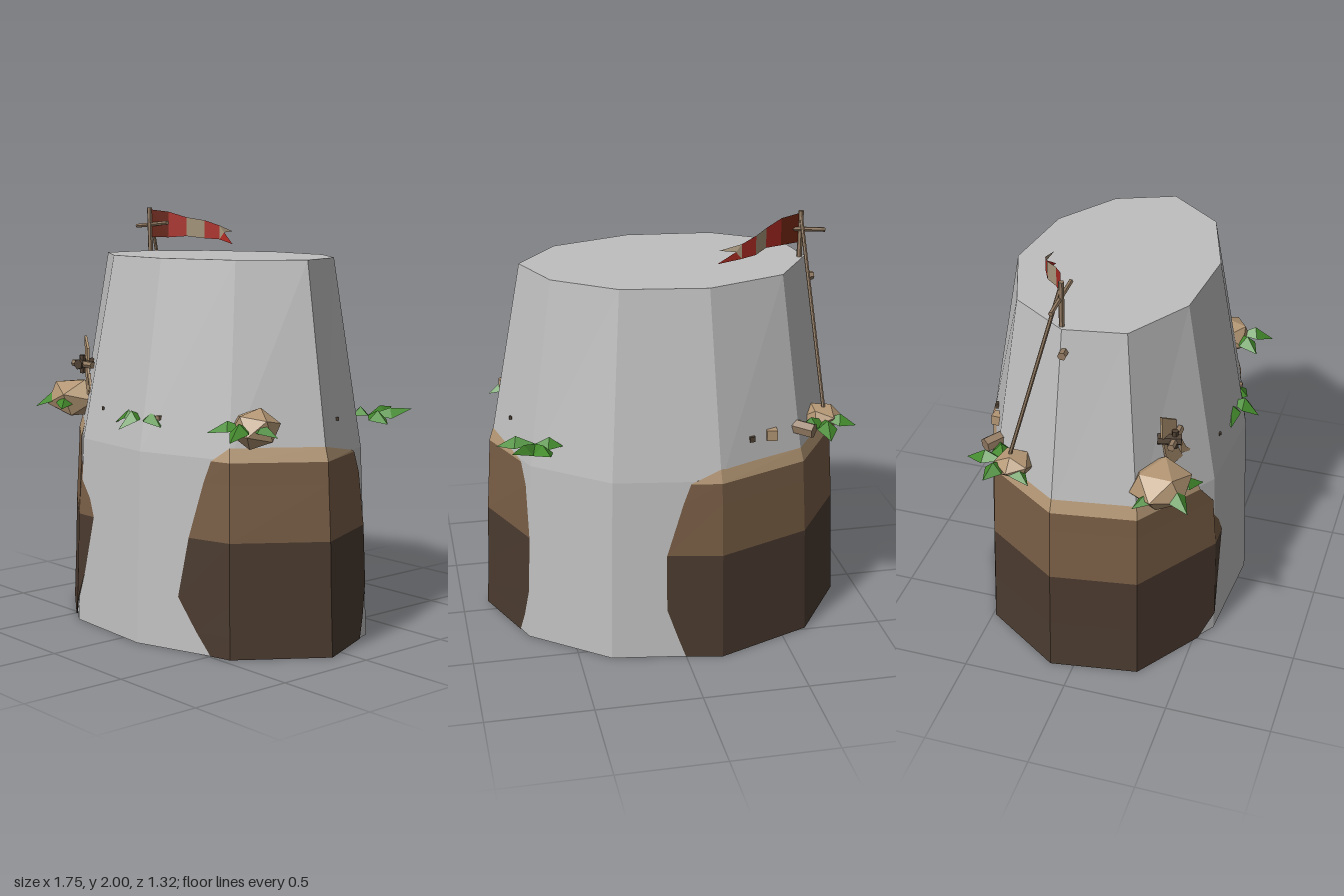
import * as THREE from 'three';

const mat = (name, color, side = THREE.FrontSide) => {
  const m = new THREE.MeshStandardMaterial({ color, side });
  m.name = name;
  return m;
};

// Corner outlines [x, z] of the rock at the ground, at the knee and at the top
const BASE = [[-.17, -.66], [.35, -.58], [.71, -.3], [.862, .085], [.595, .46],
  [.11, .61], [-.4, .575], [-.8, .3], [-.865, -.11], [-.62, -.48]];
const TOP = [[-.13, -.48], [.27, -.42], [.55, -.22], [.66, .055], [.46, .31],
  [.08, .43], [-.33, .39], [-.63, .2], [-.68, -.08], [-.5, -.35]];
const KNEE = .9, HEIGHT = 1.78;

// Point on the rock wall: u counts corners around, off pushes outward
function wall(u, y, off = 0) {
  const i = Math.floor(u) % 10, j = (i + 1) % 10, f = u - Math.floor(u);
  const at = (ring, k) => ring[i][k] * (1 - f) + ring[j][k] * f;
  const t = Math.max(0, (y - KNEE) / (HEIGHT - KNEE));
  const s = 1 - .05 * Math.min(1, y / KNEE);
  const p = [0, 1].map(k => (at(BASE, k) * s * (1 - t) + at(TOP, k) * t) * (1 + off));
  return [p[0], y, p[1]];
}

function flat(tris) {
  const g = new THREE.BufferGeometry();
  g.setAttribute('position', new THREE.Float32BufferAttribute(tris.flat(2), 3));
  g.computeVertexNormals();
  return g;
}

// Flat-shaded skin between rows of points, listed bottom to top
function loft(rows) {
  const tris = [];
  for (let r = 0; r + 1 < rows.length; r++) {
    const a = rows[r], b = rows[r + 1];
    for (let i = 0; i + 1 < a.length; i++) {
      tris.push([a[i], b[i], a[i + 1]], [b[i], b[i + 1], a[i + 1]]);
    }
  }
  return tris;
}

export function createModel() {
  const model = new THREE.Group();
  const rock = mat('rock grey', 0xbfbfbf);
  const darkEarth = mat('dark earth', 0x4a3a2f, THREE.DoubleSide);
  const earth = mat('earth brown', 0x785d45, THREE.DoubleSide);
  const stone = mat('sandy stone', 0xb39674, THREE.DoubleSide);
  const leaf = mat('leaf green', 0x438a2c, THREE.DoubleSide);
  const wood = mat('weathered wood', 0x927a61);
  const darkWood = mat('dark wood', 0x4f4032);
  const maroon = mat('maroon cloth', 0x64200f, THREE.DoubleSide);
  const red = mat('red cloth', 0xaa2a22, THREE.DoubleSide);
  const cream = mat('cream cloth', 0xa8977c, THREE.DoubleSide);

  const add = (name, geometry, material, pos = [0, 0, 0], parent = model) => {
    const m = new THREE.Mesh(geometry, material);
    m.name = name;
    m.position.set(...pos);
    parent.add(m);
    return m;
  };

  // Tapered ten-sided rock
  const ring = y => Array.from({ length: 11 }, (_, i) => wall(i, y));
  const rows = [0, KNEE, HEIGHT].map(ring);
  const body = loft(rows);
  for (let i = 0; i < 10; i++) {
    body.push([[0, HEIGHT, 0], rows[2][i + 1], rows[2][i]]);
    body.push([[0, 0, 0], rows[0][i], rows[0][i + 1]]);
  }
  add('rock', flat(body), rock);

  // Earth banks on the lower walls, in three bands
  const levels = [0, .1, .25, .53, .79, .89];
  const bank = (name, starts, ends) => {
    const row = (y, s, e, off, rise = 0) => {
      const us = [s];
      for (let k = Math.ceil(starts[3] + .01); k < ends[3]; k++) us.push(Math.min(e, Math.max(s, k)));
      us.push(e);
      return us.map((u, i) => {
        const edge = i === 0 || i === us.length - 1;
        return wall(u, y + (edge ? 0 : rise), edge ? .004 : off);
      });
    };
    const body = levels.map((y, i) => row(y, starts[i], ends[i], i === 3 ? .018 : .013));
    const crown = row(.9, starts[5] + .04, ends[5] - .04, .001, .055);
    add(name + 'Lower', flat(loft(body.slice(0, 4))), darkEarth);
    add(name + 'Upper', flat(loft(body.slice(3))), earth);
    add(name + 'Crown', flat(loft([body[5], crown])), stone);
  };
  bank('leftBank', [2.2, 2.1, 2, 2, 2.1, 2.22], [4.2, 4.35, 4.55, 4.44, 4.28, 4.2]);
  bank('rightBank', [6.22, 6, 5.9, 5.77, 6.03, 6.2], [10.33, 10.4, 10.5, 10.5, 10.35, 10.28]);

  // Boulders stuck in the wall
  const boulders = [[-.68, 1.055, .37, .155, .1, .14], [.645, 1.045, .355, .115, .088, .11],
    [-.725, 1.05, -.31, .09, .06, .09]];
  boulders.forEach(([x, y, z, sx, sy, sz], i) => {
    const g = new THREE.IcosahedronGeometry(1, 0);
    g.rotateY(.5 + i);
    g.rotateX(.3);
    g.scale(sx * 1.05, sy * 1.08, sz * 1.05);
    g.computeVertexNormals();
    add('boulder', g, stone, [x, y, z]);
  });

  // Bushes: folded leaves running from a root to each tip
  const bush = (root, tips) => {
    const tris = [];
    const o = new THREE.Vector3(...root);
    for (const tip of tips) {
      const t = new THREE.Vector3(...tip);
      const side = new THREE.Vector3(t.z - o.z, 0, o.x - t.x).normalize().multiplyScalar(.048);
      const mid = o.clone().lerp(t, .5).setY(root[1] + .035);
      const l = mid.clone().add(side).setY(root[1] - .01);
      const r = mid.clone().sub(side).setY(root[1] - .01);
      const [O, T, M, L, R] = [o, t, mid, l, r].map(v => v.toArray());
      tris.push([O, L, M], [O, M, R], [M, L, T], [M, T, R]);
    }
    add('bush', flat(tris), leaf);
  };
  bush([.05, 1.05, .51], [[-.11, 1.01, .555], [.04, 1, .655], [.22, 1.02, .55]]);
  bush([.655, 1.04, -.35], [[.61, 1.06, -.56], [.78, 1.07, -.52], [.83, 1.02, -.3], [.53, 1.03, -.38]]);
  bush([.65, 1.05, .4], [[.8, 1.02, .36], [.72, 1.01, .57], [.52, 1.03, .53]]);
  bush([-.7, 1.05, .4], [[-.865, 1.03, .29], [-.81, 1.01, .53], [-.57, 1.02, .54]]);
  bush([-.72, 1.05, -.36], [[-.7, 1.02, -.55], [-.865, 1.03, -.41], [-.82, 1.01, -.21], [-.57, 1.04, -.44]]);

  // Straight bar between two points
  const bar = (name, a, b, r, material = wood, parent = model) => {
    const A = new THREE.Vector3(...a), B = new THREE.Vector3(...b);
    const g = new THREE.CylinderGeometry(r, r, A.distanceTo(B), 6).toNonIndexed();
    g.computeVertexNormals();
    const m = add(name, g, material, A.clone().lerp(B, .5).toArray(), parent);
    m.quaternion.setFromUnitVectors(new THREE.Vector3(0, 1, 0), B.sub(A).normalize());
  };

  // Flag with its pole, crossbar, stay and peg
  const flag = new THREE.Group();
  flag.name = 'flag';
  model.add(flag);
  bar('pole', [-.65, 1.7, -.09], [-.655, 2, -.085], .013, wood, flag);
  bar('crossbar', [-.77, 1.905, -.095], [-.515, 1.925, -.09], .011, wood, flag);
  bar('stay', [-.73, 1.05, -.34], [-.653, 1.99, -.085], .009, wood, flag);
  bar('peg', [-.73, 1.675, -.065], [-.64, 1.675, -.07], .02, wood, flag);
  // Cloth stations: x, z, lower y, upper y
  const cloth = [[-.645, -.09, 1.85, 1.99], [-.55, -.125, 1.85, 1.98], [-.465, -.175, 1.857, 1.952],
    [-.4, -.24, 1.846, 1.937], [-.325, -.275, 1.842, 1.912]];
  [maroon, red, cream, red].forEach((m, i) => {
    const [a, b] = [cloth[i], cloth[i + 1]];
    add('flagStripe', flat(loft([[2, a], [2, b]].length && [2, 3].map(k =>
      [a, b].map(p => [p[0], p[k], p[1]])))), m, [0, 0, 0], flag);
  });
  const upper = [-.325, 1.912, -.275], lower = [-.325, 1.842, -.275], notch = [-.295, 1.877, -.28];
  add('upperTail', flat([[upper, notch, [-.22, 1.885, -.27]], [upper, lower, notch]]), cream, [0, 0, 0], flag);
  add('lowerTail', flat([[lower, [-.212, 1.82, -.265], notch]]), red, [0, 0, 0], flag);

  // Broken planks on a crossbar, leaning on the wall above the right boulder
  const wreck = new THREE.Group();
  wreck.name = 'brokenPlanks';
  wreck.position.set(-.575, 1.235, .37);
  wreck.rotation.y = -.5;
  model.add(wreck);
  const plank = (name, pts) => {
    const shape = new THREE.Shape(pts.map(p => new THREE.Vector2(...p)));
    add(name, new THREE.ExtrudeGeometry(shape, { depth: .012, bevelEnabled: false }), stone, [0, 0, 0], wreck);
  };
  plank('upperPlank', [[-.05, .135], [-.045, .02], [-.01, -.01], [.045, .02], [.045, .08]]);
  plank('lowerPlank', [[-.035, -.02], [.03, -.02], [.09, -.14], [.02, -.155], [-.01, -.13]]);
  plank('splinter', [[.08, -.04], [.11, -.1], [.155, -.14], [.08, -.12]]);
  bar('crossbar', [-.65, 1.235, .405], [-.49, 1.235, .405], .018);
  bar('hub', [-.6, 1.235, .33], [-.575, 1.235, .435], .026, darkWood);
  bar('strut', [-.577, 1.19, .405], [-.577, 1.28, .405], .016, darkWood);

  // Wooden stubs poking out of the walls
  bar('stub', [-.54, 1.06, -.41], [-.635, 1.05, -.485], .036);
  const stubs = [[9.35, .05, stone], [9.6, .025, darkWood], [5.72, .014, darkWood],
    [4.82, .02, wood], [2.6, .014, darkWood]];
  for (const [u, size, m] of stubs) {
    const s = add('smallStub', new THREE.BoxGeometry(size, size, size * 1.2), m, wall(u, 1.06));
    s.rotation.y = u;
  }
  return model;
}
